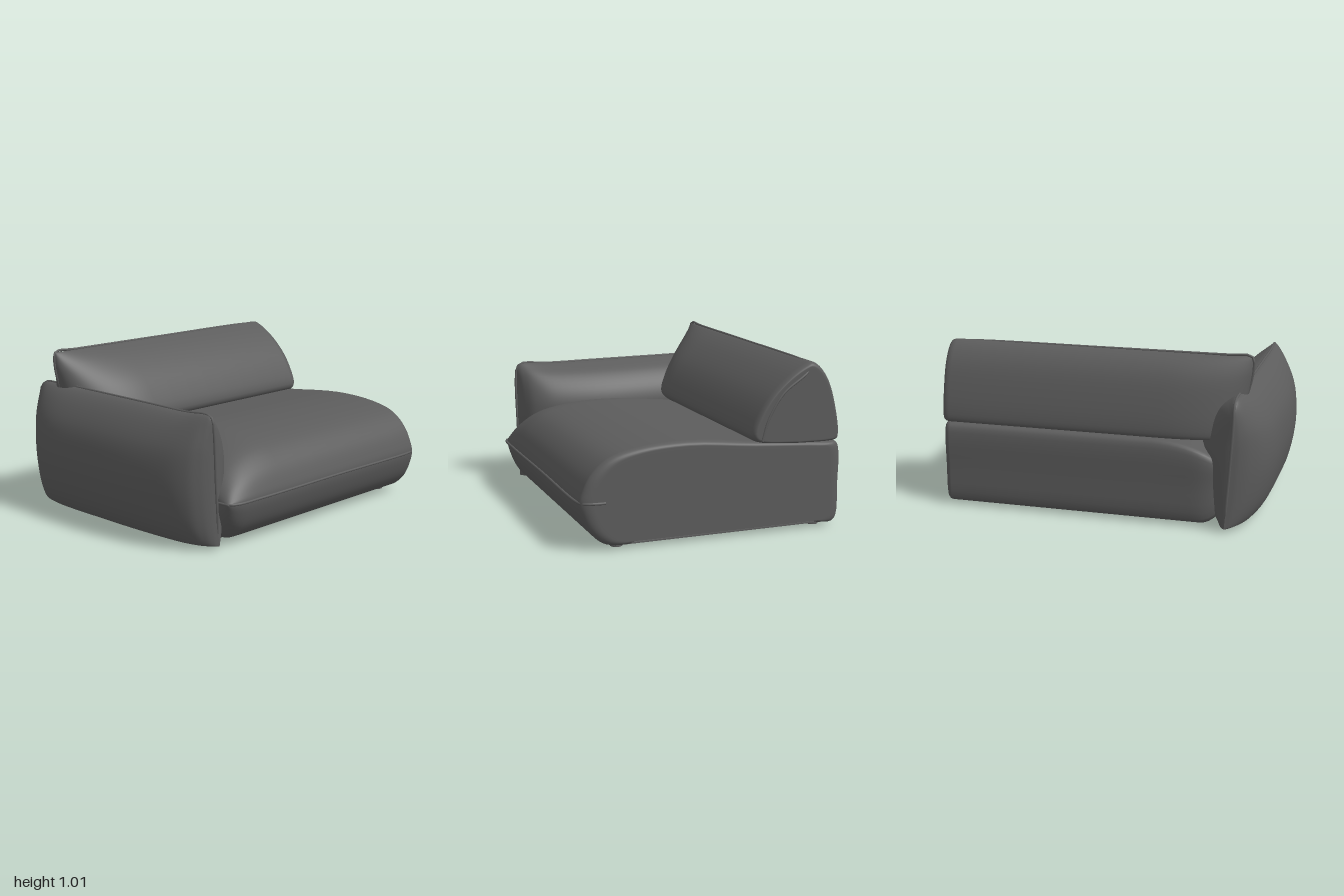
import * as THREE from 'three';

const END = 0.992; // flat right-hand end of the seat and back
const ROUND = 0.045; // edge radius at that end
const clamp01 = (t) => Math.min(1, Math.max(0, t));
const arc = (t) => Math.sqrt(1 - (1 - clamp01(t)) ** 2); // quarter-circle ease
const inset = (x) => 1 - 2 * ROUND * (1 - Math.sqrt(1 - clamp01((x - END + ROUND) / ROUND) ** 2));

// Smooth curve through 2D or 3D points
const curve = (pts) =>
  new THREE.CatmullRomCurve3(pts.map((p) => new THREE.Vector3(p[0], p[1], p[2] || 0)), false, 'centripetal');

// Skin a profile over a list of stations; place(u, v, station) gives the 3D point
function loft(profile, stations, place) {
  const ring = curve(profile).getPoints((profile.length - 1) * 4);
  const n = ring.length;
  const pos = [];
  const index = [];
  stations.forEach((s, j) => {
    ring.forEach((p, i) => {
      pos.push(...place(p.x, p.y, s));
      if (j && i) {
        const a = (j - 1) * n + i - 1;
        const b = j * n + i - 1;
        index.push(a, b, a + 1, b, b + 1, a + 1);
      }
    });
  });
  const g = new THREE.BufferGeometry();
  g.setAttribute('position', new THREE.Float32BufferAttribute(pos, 3));
  g.setIndex(index);
  g.computeVertexNormals();
  return g;
}

// Stations along x: dense at the pinched left end and the rounded right end
function xStations(start, pinch) {
  const xs = [];
  for (let i = 0; i <= 16; i++) xs.push(start + pinch * (i / 16) ** 2);
  for (let i = 1; i <= 8; i++) xs.push(start + pinch + (END - ROUND - start - pinch) * (i / 8));
  for (let i = 1; i <= 8; i++) xs.push(END - ROUND + ROUND * Math.sin((i / 8) * Math.PI / 2));
  const out = xs.map((x) => ({ x, cap: 1 }));
  out.push({ x: END, cap: 0.96 }, { x: END, cap: 0 }); // flat end face
  return out;
}

export function createModel() {
  const group = new THREE.Group();
  const fabric = new THREE.MeshStandardMaterial({ color: 0x5c5c5c, side: THREE.DoubleSide });
  fabric.name = 'charcoal fabric';

  const add = (name, geometry) => {
    const m = new THREE.Mesh(geometry, fabric);
    m.name = name;
    group.add(m);
    return m;
  };
  const piping = (name, pts, r = 0.008) => add(name, new THREE.TubeGeometry(curve(pts), 80, r, 8));

  // Seat: side profile (z, y), open underneath, pinched to a seam on the left
  const seatProfile = [
    [-0.66, 0.02], [-0.75, 0.02], [-0.778, 0.05], [-0.785, 0.25], [-0.785, 0.46], [-0.765, 0.505],
    [-0.7, 0.515], [-0.25, 0.548], [0.2, 0.588], [0.5, 0.568], [0.66, 0.52], [0.76, 0.43],
    [0.81, 0.33], [0.822, 0.28], [0.81, 0.21], [0.765, 0.11], [0.69, 0.04], [0.62, 0.02], [0.56, 0.02],
  ];
  const seatStart = -0.755;
  add('seat', loft(seatProfile, xStations(seatStart, 0.45), (z, y, { x, cap }) => {
    const k = y > 0.28 ? arc((x - seatStart) / 0.45) : arc((x - seatStart) / 0.16);
    const side = arc((x - seatStart) / 0.2);
    const s = inset(x);
    let py = 0.28 + (y - 0.28) * k * s;
    let pz = z * s * (z < 0 ? 0.85 + 0.15 * side : 0.95 + 0.05 * side);
    py = 0.04 + (py - 0.04) * cap;
    pz *= cap;
    return [x, py, pz];
  }));
  piping('seatSeam', [
    [-0.75, 0.28, 0.2], [-0.755, 0.28, 0.7], [-0.745, 0.28, 0.785], [-0.7, 0.28, 0.815], [-0.5, 0.28, 0.825],
    [0.2, 0.282, 0.825], [0.9, 0.28, 0.825], [0.965, 0.28, 0.81], [0.988, 0.28, 0.77], [0.992, 0.278, 0.68],
  ]);

  // Underside rim strips beside the opening
  for (const [x, w] of [[-0.57, 0.12], [0.9, 0.13]]) {
    add('undersideRim', new THREE.BoxGeometry(w, 0.008, 1.3)).position.set(x, 0.024, -0.04);
  }

  // Back cushion: side profile (z, y), pinched in z to a seam on the left
  const backProfile = [
    [-0.5, 0.515], [-0.27, 0.535], [-0.225, 0.555], [-0.212, 0.59], [-0.25, 0.69], [-0.33, 0.81], [-0.45, 0.92],
    [-0.55, 0.98], [-0.59, 0.992], [-0.64, 0.965], [-0.7, 0.88], [-0.745, 0.74], [-0.773, 0.57],
    [-0.765, 0.525], [-0.73, 0.515], [-0.5, 0.515],
  ];
  const backStart = -0.855;
  add('backCushion', loft(backProfile, xStations(backStart, 0.5), (z, y, { x, cap }) => {
    const k = arc((x - backStart) / 0.5);
    const s = inset(x);
    const lean = 0.08 * clamp01((0.9 - y) / 0.4) * (1 - arc((x - backStart) / 0.3));
    const pz = -0.58 + (z + 0.58) * k;
    return [x + lean, 0.7 + (y - 0.7) * s * cap, -0.5 + (pz + 0.5) * s * cap];
  }));
  piping('backSeam', [
    [-0.8, 0.62, -0.585], [-0.82, 0.75, -0.585], [-0.85, 0.87, -0.588], [-0.858, 0.975, -0.588], [-0.84, 0.997, -0.59],
    [-0.7, 0.995, -0.588], [0, 0.992, -0.585], [0.88, 0.985, -0.582], [0.96, 0.975, -0.58], [0.985, 0.94, -0.56],
    [0.99, 0.82, -0.4], [0.99, 0.68, -0.31], [0.99, 0.55, -0.27],
  ]);

  // Armrest: front profile (x, y), open underneath, pinched in width at both ends
  const armProfile = [
    [-0.84, 0.022], [-0.89, 0.035], [-0.95, 0.12], [-0.99, 0.27], [-1, 0.42], [-0.975, 0.58], [-0.91, 0.7],
    [-0.84, 0.77], [-0.79, 0.787], [-0.72, 0.76], [-0.64, 0.71], [-0.57, 0.62], [-0.54, 0.52], [-0.55, 0.35],
    [-0.58, 0.2], [-0.62, 0.08], [-0.67, 0.022],
  ];
  // Each station: z, width factor, top height
  const armStations = curve([
    [0.715, 0, 0.73], [0.705, 0.2, 0.765], [0.68, 0.42, 0.785], [0.62, 0.68, 0.787], [0.5, 0.87, 0.778],
    [0.2, 1, 0.78], [-0.2, 1, 0.783], [-0.5, 0.95, 0.785], [-0.66, 0.78, 0.785], [-0.76, 0.5, 0.78],
    [-0.81, 0.22, 0.74], [-0.828, 0, 0.68],
  ]).getPoints(60);
  const seamX = (y) => -0.745 - 0.045 * clamp01(y / 0.6);
  add('armrest', loft(armProfile, armStations, (x, y, s) => {
    const c = seamX(y);
    return [c + (x - c) * s.y, 0.022 + (y - 0.022) * (s.z - 0.022) / 0.765, s.x];
  }));
  piping('armSeam', [
    [0.03, 0.69], [0.1, 0.708], [0.4, 0.717], [0.7, 0.717], [0.765, 0.705], [0.786, 0.67], [0.778, 0.5], [0.78, 0.2],
    [0.783, -0.2], [0.785, -0.65], [0.78, -0.75], [0.745, -0.805], [0.66, -0.826], [0.3, -0.828], [0.1, -0.82], [0.03, -0.79],
  ].map(([y, z]) => [seamX(y), y, z]));

  // Feet
  for (const x of [-0.72, 0.9]) {
    for (const z of [0.59, -0.65]) {
      add('foot', new THREE.CylinderGeometry(0.035, 0.035, 0.03, 24)).position.set(x, 0.015, z);
    }
  }
  return group;
}
